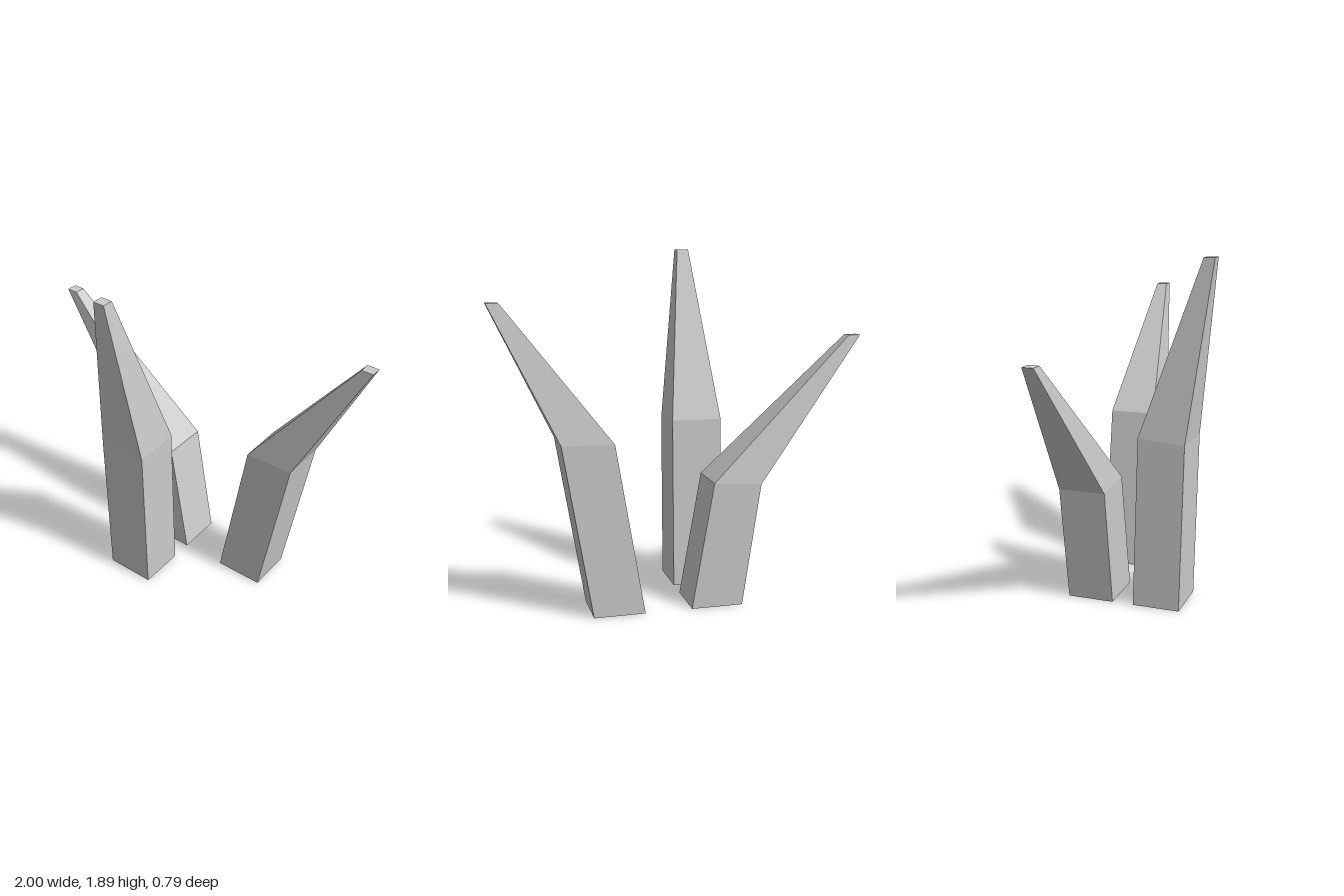
import * as THREE from 'three';

const material = new THREE.MeshStandardMaterial({ color: 0xcccccc, flatShading: true, side: THREE.DoubleSide });

// Each spike bends in its own plane: profile rows are [u0, y0, u1, y1] for
// base, bend and tip; widths are the [from, to] extents across that plane.
function spike(name, profile, widths, toPoint) {
  const positions = [];
  profile.forEach(([u0, y0, u1, y1], i) => {
    const [w0, w1] = widths[i];
    positions.push(
      ...toPoint(u0, y0, w0), ...toPoint(u1, y1, w0),
      ...toPoint(u1, y1, w1), ...toPoint(u0, y0, w1));
  });

  const index = [];
  const quad = (a, b, c, d) => index.push(a, b, c, a, c, d);
  quad(0, 1, 2, 3); // underside
  for (let ring = 0; ring < profile.length - 1; ring++) {
    for (let k = 0; k < 4; k++) {
      const a = ring * 4 + k, b = ring * 4 + (k + 1) % 4;
      quad(a, a + 4, b + 4, b);
    }
  }
  const t = (profile.length - 1) * 4;
  quad(t + 3, t + 2, t + 1, t); // flat tip

  const indexed = new THREE.BufferGeometry();
  indexed.setAttribute('position', new THREE.Float32BufferAttribute(positions, 3));
  indexed.setIndex(index);
  const geometry = indexed.toNonIndexed();
  geometry.computeVertexNormals();
  const mesh = new THREE.Mesh(geometry, material);
  mesh.name = name;
  return mesh;
}

export function createModel() {
  const group = new THREE.Group();
  group.name = 'spikes';

  // The rear pair leans sideways, so the profile lies in x-y
  const sideways = (u, y, w) => [u, y, w];
  const rearWidths = [[-0.395, -0.135], [-0.395, -0.135], [-0.295, -0.235]];
  group.add(spike('leftSpike', [
    [0.225, 0, 0.5, 0],
    [0.38, 0.915, 0.655, 0.92],
    [0.935, 1.63, 1, 1.63],
  ], rearWidths, sideways));
  group.add(spike('rightSpike', [
    [-0.31, 0, -0.03, 0],
    [-0.41, 0.66, -0.15, 0.68],
    [-1, 1.435, -0.935, 1.435],
  ], rearWidths, sideways));

  // The front spike leans forward, so the profile lies in z-y (u runs backward)
  group.add(spike('frontSpike', [
    [-0.248, 0, 0.015, 0],
    [-0.275, 0.93, -0.017, 0.95],
    [-0.395, 1.89, -0.335, 1.89],
  ], [[-0.31, -0.03], [-0.31, -0.03], [-0.205, -0.14]], (u, y, w) => [w, y, -u]));

  return group;
}
